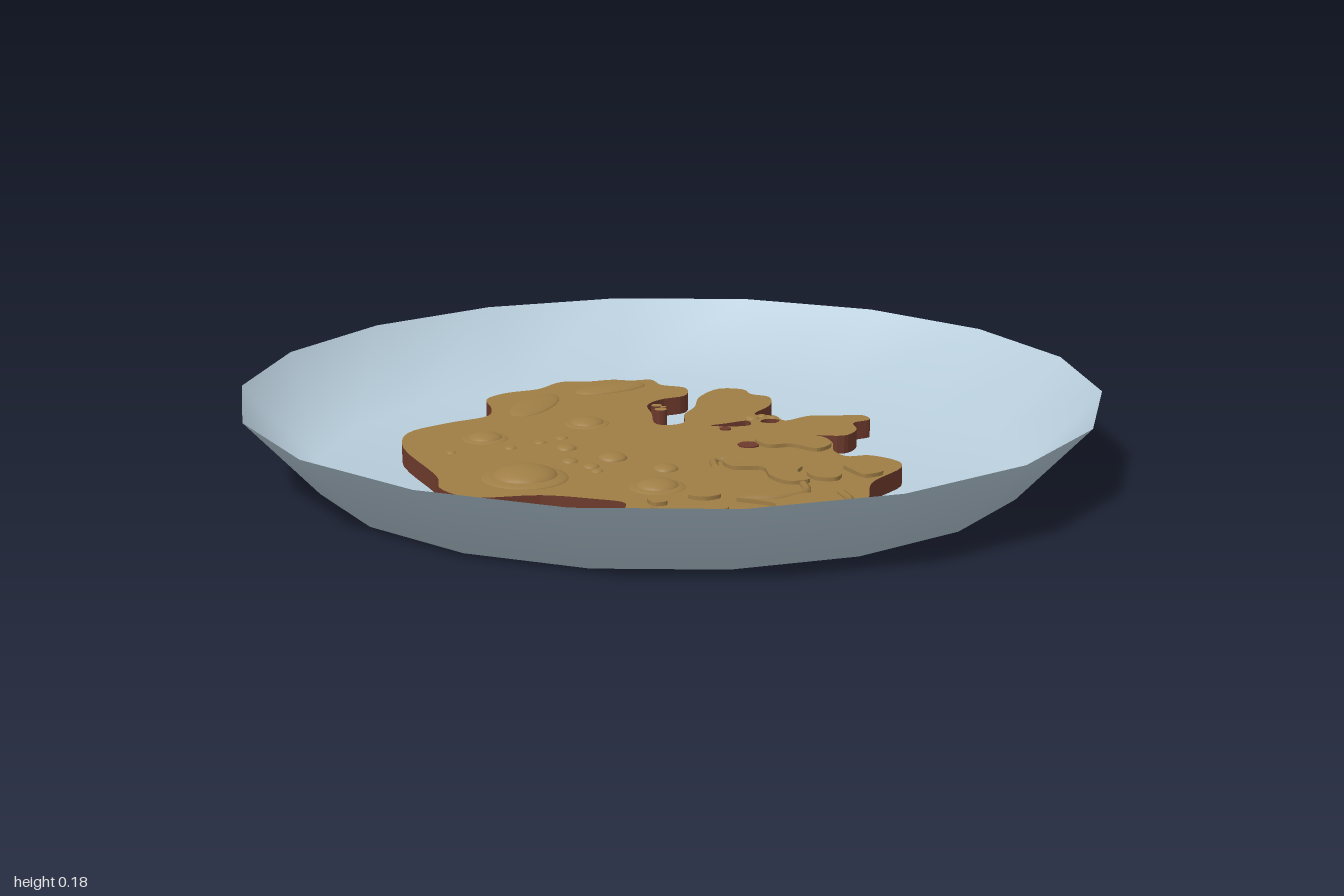
import * as THREE from 'three';

const mat = (name, color, extra = {}) => Object.assign(new THREE.MeshStandardMaterial({ color, ...extra }), { name });
const glaze = mat('pale blue glaze', 0xb9cedc, { side: THREE.DoubleSide });
const crust = mat('golden crust', 0x9f7e45);
const edge = mat('browned edge', 0x6e3a2c);

const BASE = 0.003, TOP = 0.047; // bottom and top heights of the food

// Smooth closed outline through [x, z, x, z, ...]
function outline(flat, samples, Kind = THREE.Shape) {
  const pts = [];
  for (let i = 0; i < flat.length; i += 2) pts.push(new THREE.Vector3(flat[i], flat[i + 1], 0));
  const curve = new THREE.CatmullRomCurve3(pts, true, 'centripetal');
  return new Kind(curve.getPoints(samples).slice(0, -1).map(p => new THREE.Vector2(p.x, p.y)));
}

// Horizontal slab between two heights from an outline on the x-z plane
function slab(name, shape, low, high, materials) {
  const g = new THREE.ExtrudeGeometry(shape, { depth: high - low, bevelEnabled: false });
  g.rotateX(Math.PI / 2);
  g.translate(0, high, 0);
  const m = new THREE.Mesh(g, materials);
  m.name = name;
  return m;
}

// Low dome standing on the crust
function dome(name, x, z, rx, rz, h, turn = 0) {
  const m = new THREE.Mesh(new THREE.SphereGeometry(1, 24, 8, 0, Math.PI * 2, 0, Math.PI / 2), crust);
  m.scale.set(rx, h, rz);
  m.rotation.y = turn;
  m.position.set(x, TOP - 0.001, z);
  m.name = name;
  return m;
}

// Narrow raised crease along [x, z] points
function crease(points) {
  const curve = new THREE.CatmullRomCurve3(points.map(([x, z]) => new THREE.Vector3(x, 0, z)));
  const m = new THREE.Mesh(new THREE.TubeGeometry(curve, points.length * 6, 0.01, 6), crust);
  m.position.y = TOP;
  m.name = 'crease';
  return m;
}

export function createModel() {
  const model = new THREE.Group();
  model.name = 'plateOfFlatbread';

  // Eighteen-sided shallow dish, smooth shaded
  const profile = [[0, 0], [0.83, 0], [1, 0.18]].map(p => new THREE.Vector2(...p));
  const dish = new THREE.Mesh(new THREE.LatheGeometry(profile, 18, THREE.MathUtils.degToRad(7.2)), glaze);
  dish.name = 'dish';
  model.add(dish);

  // Ragged food with lobes on its left side
  const food = new THREE.Group();
  food.name = 'food';
  model.add(food);
  const body = outline([
    -0.04, -0.66, 0.02, -0.64, 0.09, -0.635, 0.13, -0.61, 0.18, -0.6, 0.185, -0.54, 0.23, -0.49, 0.2, -0.415,
    0.13, -0.4, 0.08, -0.36, 0.06, -0.28, 0.035, -0.18, 0.06, -0.16, 0.1, -0.17, 0.13, -0.24, 0.18, -0.3,
    0.23, -0.39, 0.31, -0.45, 0.36, -0.42, 0.36, -0.37, 0.39, -0.33, 0.36, -0.25, 0.29, -0.18, 0.33, -0.15,
    0.335, -0.1, 0.41, -0.12, 0.46, -0.1, 0.53, -0.08, 0.53, -0.035, 0.48, -0.02, 0.46, 0.04, 0.41, 0.08,
    0.33, 0.045, 0.36, 0.11, 0.33, 0.2, 0.34, 0.25, 0.39, 0.26, 0.43, 0.33, 0.415, 0.38, 0.3, 0.47,
    0.25, 0.56, 0.2, 0.66, 0.12, 0.71, 0.06, 0.68, -0.1, 0.66, -0.2, 0.62, -0.28, 0.56, -0.29, 0.48,
    -0.27, 0.42, -0.32, 0.37, -0.42, 0.3, -0.57, 0.26, -0.61, 0.17, -0.59, 0.08, -0.59, -0.2, -0.54, -0.32,
    -0.43, -0.37, -0.32, -0.4, -0.29, -0.46, -0.27, -0.56, -0.21, -0.6, -0.12, -0.61,
  ], 300);
  body.holes.push(
    outline([0.15, -0.12, 0.19, -0.125, 0.25, -0.13, 0.24, -0.09, 0.19, -0.095], 24, THREE.Path),
    outline([0.275, -0.11, 0.3, -0.13, 0.325, -0.11, 0.3, -0.085], 16, THREE.Path));
  food.add(slab('crustBody', body, BASE, TOP, [crust, edge]));

  // Loose crumbs in the gap
  for (const [x, z, r] of [[0.1, -0.35, 0.014], [0.095, -0.31, 0.016], [0.11, -0.33, 0.008]]) {
    const crumb = new THREE.Mesh(new THREE.CylinderGeometry(r, r, TOP - BASE, 7), [edge, crust, crust]);
    crumb.position.set(x, (TOP + BASE) / 2, z);
    crumb.name = 'crumb';
    food.add(crumb);
  }

  // Baked bubbles: broad low skirt under a rounder cap
  for (const [x, z, r] of [[-0.41, 0.155, 0.1], [-0.16, 0.33, 0.065], [-0.39, -0.2, 0.055], [-0.12, -0.245, 0.055]]) {
    food.add(dome('bubbleSkirt', x, z, r, r, r * 0.13));
    food.add(dome('bubble', x, z, r * 0.78, r * 0.78, r * 0.3));
  }
  for (const [x, z, r] of [[-0.17, 0.07, 0.035], [-0.09, 0.2, 0.03], [-0.24, -0.05, 0.025], [-0.24, 0.12, 0.02],
    [-0.27, 0.06, 0.02], [-0.24, 0.16, 0.015], [-0.36, -0.1, 0.015], [-0.5, -0.11, 0.012], [-0.28, -0.12, 0.015],
    [-0.22, -0.14, 0.015], [0.27, -0.15, 0.018], [0.3, -0.16, 0.012], [0.32, -0.14, 0.012]])
    food.add(dome('smallBubble', x, z, r, r, r * 0.4));

  // Soft swellings on the rear lobe
  food.add(dome('rearSwelling', 0.05, -0.55, 0.1, 0.045, 0.012, 0.15));
  food.add(dome('rearSwelling', -0.18, -0.46, 0.12, 0.05, 0.01, 0.9));

  // Raised ragged patches on the front lobe
  const patches = [
    [0.05, 0.2, 0.1, 0.17, 0.13, 0.21, 0.19, 0.22, 0.2, 0.31, 0.17, 0.35, 0.17, 0.42, 0.12, 0.42, 0.1, 0.36, 0.11, 0.29, 0.05, 0.26],
    [0.19, 0.06, 0.27, 0.05, 0.34, 0.09, 0.34, 0.16, 0.29, 0.19, 0.25, 0.13, 0.2, 0.12],
    [-0.24, 0.5, -0.19, 0.51, -0.15, 0.49, -0.08, 0.52, -0.09, 0.57, -0.15, 0.56, -0.17, 0.61, -0.21, 0.59, -0.2, 0.55],
    [-0.04, 0.5, 0.04, 0.54, 0.12, 0.52, 0.17, 0.56, 0.14, 0.63, 0.07, 0.66, 0, 0.62, 0.02, 0.57],
    [0.19, 0.36, 0.24, 0.35, 0.26, 0.39, 0.23, 0.43, 0.19, 0.41],
    [0.29, 0.34, 0.34, 0.36, 0.35, 0.42, 0.3, 0.43, 0.29, 0.39],
    [-0.13, 0.44, -0.08, 0.43, -0.06, 0.46, -0.1, 0.47],
    [-0.22, 0.43, -0.19, 0.43, -0.19, 0.47, -0.22, 0.47],
  ];
  for (const p of patches) food.add(slab('raisedPatch', outline(p, p.length * 3), TOP - 0.005, TOP + 0.009, crust));

  // Creases among the patches
  food.add(crease([[-0.03, 0.49], [0.06, 0.51], [0.13, 0.49], [0.15, 0.43]]));
  food.add(crease([[0.02, 0.23], [0.04, 0.18], [0.1, 0.2]]));
  food.add(crease([[0.2, 0.52], [0.19, 0.59], [0.12, 0.65]]));

  // Dark scorched spots
  for (const [x, z, r] of [[0.165, 0.08, 0.026], [0.17, -0.075, 0.014]]) {
    const spot = new THREE.Mesh(new THREE.CylinderGeometry(r, r, 0.006, 9), edge);
    spot.position.set(x, TOP, z);
    spot.name = 'scorchedSpot';
    food.add(spot);
  }
  return model;
}
